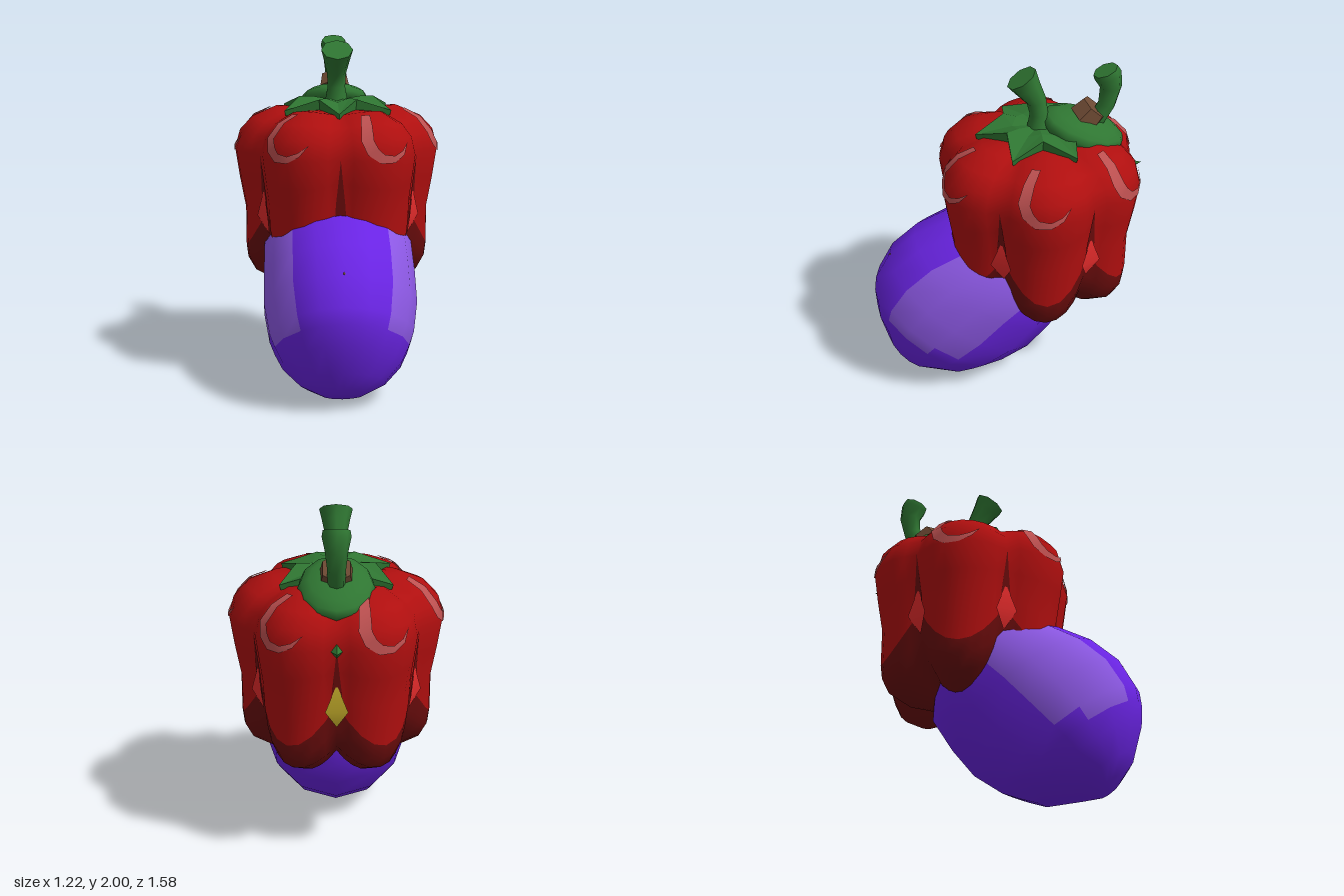
import * as THREE from 'three';

const mat = (name, color, side = THREE.FrontSide) => {
  const m = new THREE.MeshStandardMaterial({ color, side });
  m.name = name;
  return m;
};
const rad = THREE.MathUtils.degToRad;
const V = (x, y, z) => new THREE.Vector3(x, y, z);

// Skin over closed rings, ordered from top to bottom; pick chooses the material of each cell
function loft(rings, pick = () => 0) {
  const n = rings[0].length, buckets = [];
  for (let i = 0; i < rings.length - 1; i++) {
    for (let j = 0; j < n; j++) {
      const k = (j + 1) % n, a = i * n + j, b = i * n + k, c = a + n, d = b + n;
      (buckets[pick(i, j)] ??= []).push(b, d, a, a, d, c);
    }
  }
  const g = new THREE.BufferGeometry().setFromPoints(rings.flat());
  g.setIndex(buckets.flat());
  let start = 0;
  buckets.forEach((b, m) => { g.addGroup(start, b.length, m); start += b.length; });
  g.computeVertexNormals();
  return g;
}

function flat(g) {
  const f = g.toNonIndexed();
  f.computeVertexNormals();
  return f;
}

// Pepper profile rows: lobe radius, lobe height, notch radius, notch height
const PZ = -0.18;
const ROWS = [
  [0, 1.55, 0, 1.55], [0.15, 1.6, 0.13, 1.57], [0.36, 1.61, 0.3, 1.585], [0.5, 1.55, 0.43, 1.53],
  [0.575, 1.47, 0.495, 1.46], [0.605, 1.36, 0.52, 1.36], [0.58, 1.19, 0.5, 1.23],
  [0.545, 1.0, 0.487, 1.13], [0.545, 0.77, 0.475, 1.02], [0.535, 0.69, 0.455, 0.87],
  [0.49, 0.61, 0.42, 0.74], [0.36, 0.54, 0.3, 0.65], [0.2, 0.53, 0.15, 0.6], [0, 0.58, 0, 0.58],
];

// Point on the six-lobed pepper at an angle (degrees) and fractional row
function pepperPoint(deg, row, lift = 0) {
  const i = Math.min(Math.floor(row), ROWS.length - 2), f = row - i;
  const [lr, ly, nr, ny] = ROWS[i].map((v, c) => v + (ROWS[i + 1][c] - v) * f);
  const w = Math.abs(Math.cos(3 * rad(deg)));
  const r = nr + (lr - nr) * w, y = ny + (ly - ny) * w;
  const p = V(r * Math.cos(rad(deg)), y, PZ + r * Math.sin(rad(deg)));
  return p.addScaledVector(p.clone().sub(V(0, 1.1, PZ)).normalize(), lift);
}

// Thin painted strip on the pepper between two edges of [angle, row]
function strip(at, left, right, lift) {
  const pts = [], idx = [];
  left.forEach((l, i) => {
    pts.push(pepperPoint(at + l[0], l[1], lift), pepperPoint(at + right[i][0], right[i][1], lift));
    if (i) idx.push(2 * i - 2, 2 * i, 2 * i - 1, 2 * i - 1, 2 * i, 2 * i + 1);
  });
  const g = new THREE.BufferGeometry().setFromPoints(pts);
  g.setIndex(idx);
  g.computeVertexNormals();
  return g;
}
const mirrored = (edge) => edge.map(([a, k]) => [-a, k]);

// Stem from rows of [y, z, radius, forward tilt], top first
function stem(rows) {
  const top = rows[0];
  return loft([[top[0], top[1], 0, 0], top, ...rows].map(([y, z, r, t]) =>
    Array.from({ length: 8 }, (_, j) => {
      const a = j * Math.PI / 4, s = r * Math.sin(a);
      return V(r * Math.cos(a), y - s * Math.sin(t), z + s * Math.cos(t));
    })));
}

// Eggplant rings: distance along the axis, upper edge, lower edge, half width
const EGG = [
  [-0.3, 0, 0, 0], [-0.29, 0.2, -0.2, 0.2], [-0.15, 0.32, -0.32, 0.36], [0, 0.434, -0.46, 0.44],
  [0.22, 0.555, -0.475, 0.445], [0.42, 0.6, -0.465, 0.445], [0.6, 0.575, -0.4, 0.415],
  [0.68, 0.53, -0.345, 0.385], [0.77, 0.455, -0.275, 0.34], [0.885, 0.312, -0.08, 0.24],
  [0.94, 0.18, 0, 0.12], [0.945, 0.09, 0.09, 0],
];
const HALF = [-90, -62, -36, -10, 10, 31, 52, 71, 90];
const ANGLES = [...HALF, ...HALF.slice(1, -1).reverse().map((a) => 180 - a)];

function eggplant() {
  const rings = EGG.map(([t, up, lo, rx]) => ANGLES.map((a) => {
    const u = (up + lo) / 2 + (up - lo) / 2 * Math.sin(rad(a));
    return V(rx * Math.cos(rad(a)), 0.785 - 0.81 * t + 0.59 * u, -0.03 + 0.59 * t + 0.81 * u);
  }));
  // lighter patch on each upper flank
  return loft(rings, (i, j) => {
    let m = (ANGLES[j] + (ANGLES[j + 1] ?? 270)) / 2;
    if (m > 90) m = 180 - m;
    const end = EGG[i + 1][0];
    return m > -10 && m < 52 && end <= (m < 10 ? 0.6 : 0.68) ? 1 : 0;
  });
}

export function createModel() {
  const D = THREE.DoubleSide;
  const red = mat('pepperRed', 0xb00f0f), dark = mat('darkRed', 0x6a0c0c, D);
  const shine = mat('paleRed', 0xbc5050, D), bright = mat('brightRed', 0xe82c2c, D);
  const yellow = mat('yellow', 0xc8b02c, D), purple = mat('purple', 0x6a24e4);
  const pale = mat('palePurple', 0x8c58e4), green = mat('leafGreen', 0x2f7632, D);
  const brown = mat('brown', 0x6e4a33);

  const model = new THREE.Group();
  model.name = 'vegetables';
  const add = (name, geometry, material) => {
    const m = new THREE.Mesh(geometry, material);
    m.name = name;
    model.add(m);
    return m;
  };

  // Pepper body with a scalloped dark base
  const rings = ROWS.map((_, i) => Array.from({ length: 48 }, (_, j) => pepperPoint(j * 7.5, i)));
  add('pepperBody', loft(rings, (i) => (i >= 8 ? 1 : 0)), [red, dark]);

  // Shine on each lobe, dark groove and diamond in each notch
  const outer = [[12, 2.3], [16, 3], [18, 4], [15, 4.7], [8, 5.1], [0, 5.1], [-7, 4.8], [-12, 4.2]];
  const inner = [[5, 2.3], [9, 3], [11, 4], [9, 4.4], [6, 4.7], [0, 4.8], [-6, 4.6], [-12, 4.2]];
  const groove = [[0, 5], [1.5, 6], [3, 7], [4, 8]];
  const diamond = [[0, 6.8], [7, 7.6], [0, 8.9]];
  for (let i = 0; i < 6; i++) {
    const lobe = i * 60, notch = lobe + 30;
    add('lobeShine', strip(lobe, outer, inner, 0.009), shine);
    add('notchGroove', strip(notch, groove, mirrored(groove), 0.005), dark);
    if (notch !== 90) {
      add('notchDiamond', strip(notch, diamond, mirrored(diamond), 0.012), notch === 270 ? yellow : bright);
    }
  }

  // Pepper leaf star and stem
  const star = (tip, tipY, dip, dipY) => Array.from({ length: 12 }, (_, j) => {
    const r = j % 2 ? tip : dip, a = j * Math.PI / 6;
    return V(r * Math.cos(a), j % 2 ? tipY : dipY, PZ + r * Math.sin(a));
  });
  add('pepperLeaves', flat(loft([
    star(0, 1.64, 0, 1.64), star(0.15, 1.645, 0.14, 1.665), star(0.36, 1.6, 0.22, 1.665),
    star(0.35, 1.57, 0.21, 1.6),
  ])), green);
  add('pepperStem', stem([
    [1.945, -0.08, 0.093, 0.57], [1.89, -0.11, 0.078, 0.5], [1.8, -0.165, 0.056, 0.3],
    [1.72, -0.18, 0.052, 0], [1.62, -0.18, 0.07, 0],
  ]), green);

  // Eggplant with its cap, stem, collar and leaf tip
  add('eggplantBody', eggplant(), [purple, pale]);
  const cap = add('eggplantCap', new THREE.SphereGeometry(1, 12, 8), green);
  cap.scale.set(0.21, 0.09, 0.25);
  cap.position.set(0, 1.61, -0.43);
  cap.rotation.x = -0.35;
  const collar = add('eggplantCollar', flat(new THREE.CylinderGeometry(0.085, 0.1, 0.09, 6)), brown);
  collar.position.set(0, 1.71, -0.465);
  collar.rotation.x = -0.72;
  add('eggplantStem', stem([
    [1.97, -0.545, 0.072, 0.4], [1.94, -0.56, 0.078, 0.3], [1.87, -0.58, 0.062, 0.05],
    [1.76, -0.56, 0.05, -0.35], [1.65, -0.5, 0.05, -0.5],
  ]), green);
  const tip = add('eggplantLeafTip', flat(new THREE.ConeGeometry(0.06, 0.13, 4)), green);
  tip.position.set(0, 1.355, -0.715);
  tip.rotation.x = -Math.PI / 2 + 0.15;

  // Tiny blemish on the eggplant
  const spot = add('eggplantSpot', new THREE.OctahedronGeometry(0.011), brown);
  spot.position.set(0, 0.8, 0.696);
  return model;
}
